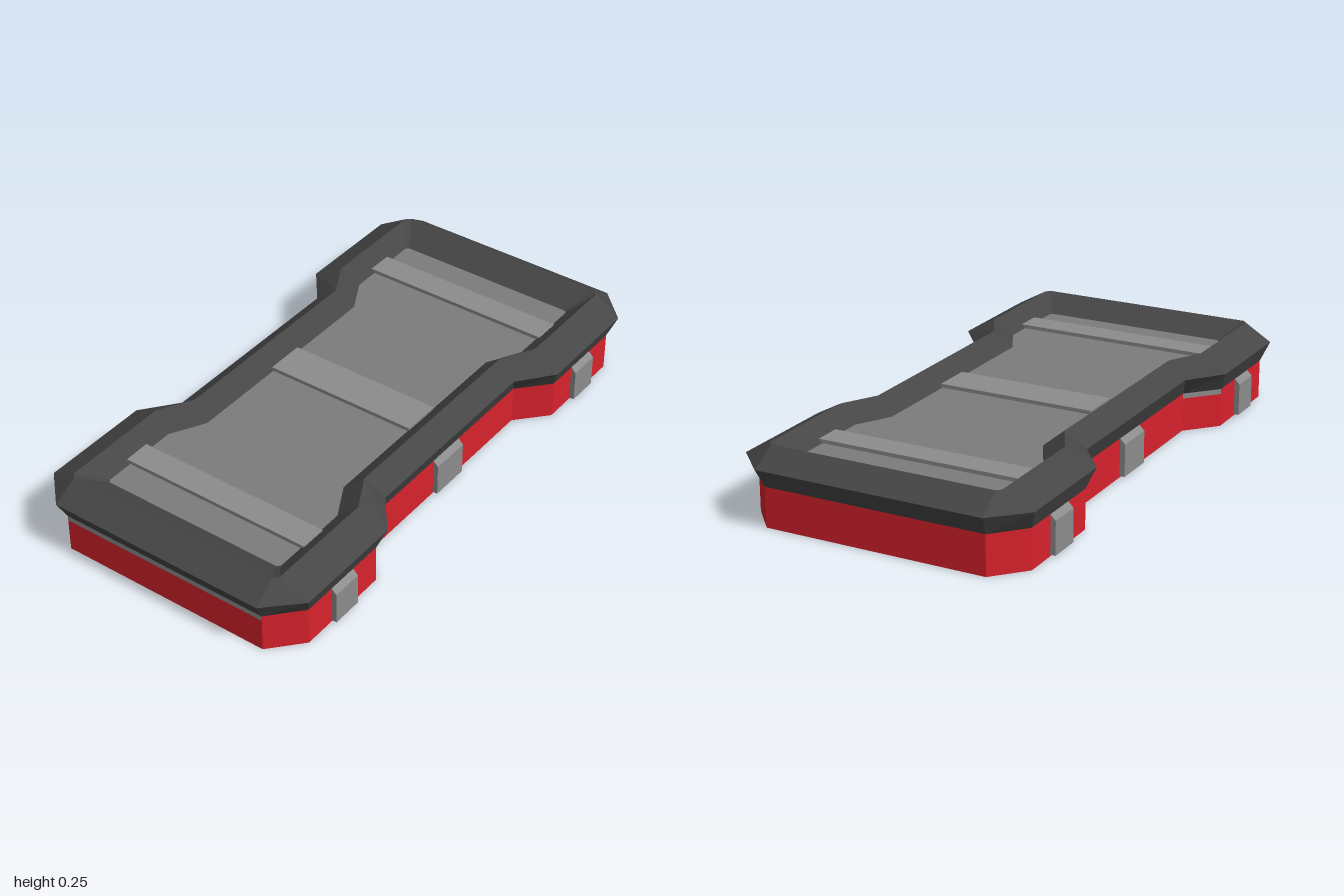
import * as THREE from 'three';

const mat = (color) => new THREE.MeshStandardMaterial({ color, flatShading: true });

// Mirrors one quarter (front corner -> waist) into a closed 16-point outline
function outline(q) {
  const r = [...q].reverse();
  return [
    ...q,
    ...r.map(([x, z]) => [x, -z]),
    ...q.map(([x, z]) => [-x, -z]),
    ...r.map(([x, z]) => [-x, z]),
  ];
}

// Joins rings [outline, y] with flat quads; keep(i) picks the outline sides to build
function loft(rings, keep = () => true) {
  const pos = [];
  for (let j = 0; j < rings.length - 1; j++) {
    const [lo, y0] = rings[j], [hi, y1] = rings[j + 1];
    for (let i = 0; i < lo.length; i++) {
      if (!keep(i)) continue;
      const k = (i + 1) % lo.length;
      const a = [lo[i][0], y0, lo[i][1]], b = [lo[k][0], y0, lo[k][1]];
      const c = [hi[k][0], y1, hi[k][1]], d = [hi[i][0], y1, hi[i][1]];
      pos.push(...a, ...b, ...c, ...a, ...c, ...d);
    }
  }
  const g = new THREE.BufferGeometry();
  g.setAttribute('position', new THREE.Float32BufferAttribute(pos, 3));
  g.computeVertexNormals();
  return g;
}

export function createModel() {
  const model = new THREE.Group();
  model.name = 'tray';
  const red = mat(0xd8222c), dark = mat(0x464646), grey = mat(0x7c7c7c), light = mat(0x8c8c8c);
  const add = (name, geometry, material) => {
    const m = new THREE.Mesh(geometry, material);
    m.name = name;
    model.add(m);
    return m;
  };

  const wallIn = outline([[0.375, 0.94], [0.455, 0.85], [0.455, 0.525], [0.36, 0.42]]);
  const wallOut = outline([[0.385, 0.965], [0.48, 0.86], [0.48, 0.515], [0.385, 0.41]]);
  const rimOut = outline([[0.395, 1], [0.505, 0.89], [0.505, 0.49], [0.41, 0.37]]);
  const ridge = outline([[0.39, 0.915], [0.405, 0.9], [0.405, 0.505], [0.34, 0.385]]);
  const panelEdge = outline([[0.33, 0.82], [0.34, 0.81], [0.34, 0.525], [0.275, 0.405]]);

  // Skirt wall; the front side and the front shoulders carry a grey strip on top
  const top = 0.135, stripY = 0.117;
  const hasStrip = (i) => [2, 12, 15].includes(i);
  const wall = (y0, y1) => [[wallIn, y1], [wallIn, y0], [wallOut, y0], [wallOut, y1], [wallIn, y1]];
  add('skirtWall', loft(wall(0, top), (i) => !hasStrip(i)), red);
  add('skirtWallLow', loft(wall(0, stripY), hasStrip), red);
  add('wallStrip', loft(wall(stripY, top), hasStrip), light);

  // Bevelled rim
  add('rim', loft([
    [wallIn, top], [wallOut, top], [rimOut, 0.2], [ridge, 0.255],
    [panelEdge, 0.2], [panelEdge, 0.185], [wallIn, top],
  ]), dark);

  // Sunken panel
  const shape = new THREE.Shape(panelEdge.map(([x, z]) => new THREE.Vector2(x, -z)));
  const panel = new THREE.ExtrudeGeometry(shape, { depth: 0.015, bevelEnabled: false });
  panel.rotateX(-Math.PI / 2).translate(0, 0.185, 0);
  add('panel', panel, grey);

  // Straps across the panel, with a clip on the wall at each end
  const straps = [
    { z: 0.665, half: 0.353, depth: 0.095, clipZ: 0.69, clipDepth: 0.11, clipX: 0.498 },
    { z: -0.015, half: 0.28, depth: 0.14, clipZ: -0.008, clipDepth: 0.145, clipX: 0.403 },
    { z: -0.665, half: 0.353, depth: 0.095, clipZ: -0.687, clipDepth: 0.115, clipX: 0.498 },
  ];
  for (const s of straps) {
    add('strap', new THREE.BoxGeometry(s.half * 2, 0.03, s.depth), light).position.set(0, 0.198, s.z);
    for (const side of [1, -1]) {
      const x = s.clipX;
      const profile = [[x - 0.055, 0.005], [x, 0.005], [x, stripY], [x - 0.018, top], [x - 0.055, top]];
      const clip = new THREE.ExtrudeGeometry(
        new THREE.Shape(profile.map(([px, py]) => new THREE.Vector2(px * side, py))),
        { depth: s.clipDepth, bevelEnabled: false },
      );
      add(side > 0 ? 'leftClip' : 'rightClip', clip, light).position.z = s.clipZ - s.clipDepth / 2;
    }
  }
  return model;
}
